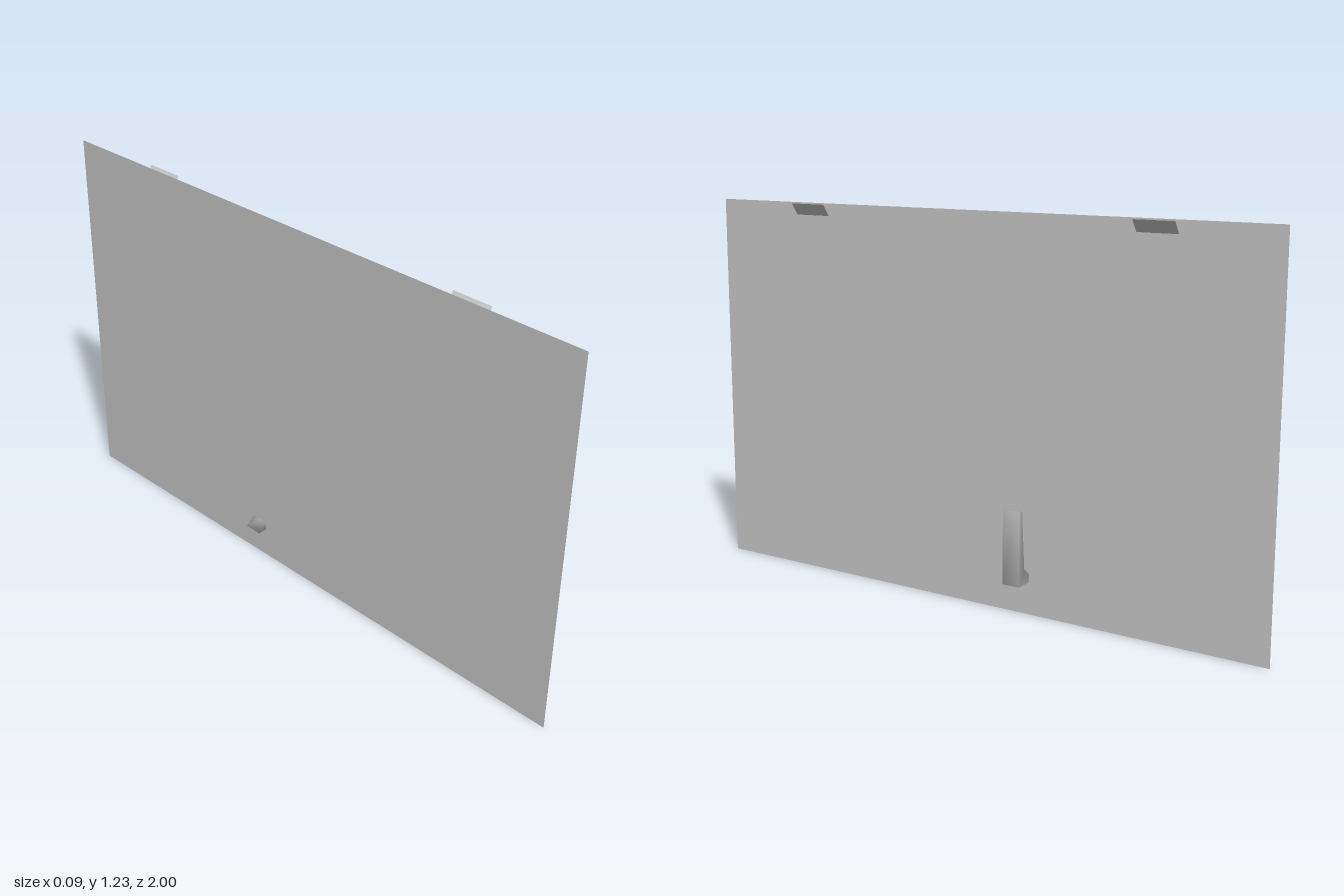
import * as THREE from 'three';
import { mergeVertices } from 'three/addons/utils/BufferGeometryUtils.js';

const PANEL_X = -0.013;
const HEIGHT = 1.228;

export function createModel() {
  const group = new THREE.Group();
  const solid = new THREE.MeshStandardMaterial({ color: 0xcccccc });
  const sheet = new THREE.MeshStandardMaterial({ color: 0xcccccc, side: THREE.DoubleSide });

  const add = (name, geometry, material) => {
    const mesh = new THREE.Mesh(geometry, material);
    mesh.name = name;
    group.add(mesh);
    return mesh;
  };

  // Thin upright panel facing +x
  const panel = new THREE.PlaneGeometry(2, HEIGHT).rotateY(Math.PI / 2);
  add('panel', panel, sheet).position.set(PANEL_X, HEIGHT / 2, 0);

  // Two slanted tabs along the top edge, leaning outward as they rise
  const lean = 0.026, rise = 0.037;
  for (const side of [1, -1]) {
    const tab = new THREE.PlaneGeometry(0.131, Math.hypot(lean, rise))
      .rotateX(Math.atan2(lean, rise))
      .rotateY(Math.PI / 2);
    add(side > 0 ? 'frontTab' : 'backTab', tab, sheet)
      .position.set(0, 1.225 - rise / 2, side * 0.618);
  }

  // Foot-shaped bracket whose toe passes through the panel
  const profile = new THREE.Shape([
    [-0.045, 0.102], [0.044, 0.102], [0.044, 0.342], [0.028, 0.337], [0.014, 0.152],
  ].map(([x, y]) => new THREE.Vector2(x, y)));
  let bracket = new THREE.ExtrudeGeometry(profile, { depth: 0.059, bevelEnabled: false });
  // Weld the corners so that shading runs smoothly around them
  bracket.deleteAttribute('normal');
  bracket.deleteAttribute('uv');
  bracket = mergeVertices(bracket);
  bracket.computeVertexNormals();
  add('bracket', bracket, solid).position.z = -0.212;

  return group;
}
